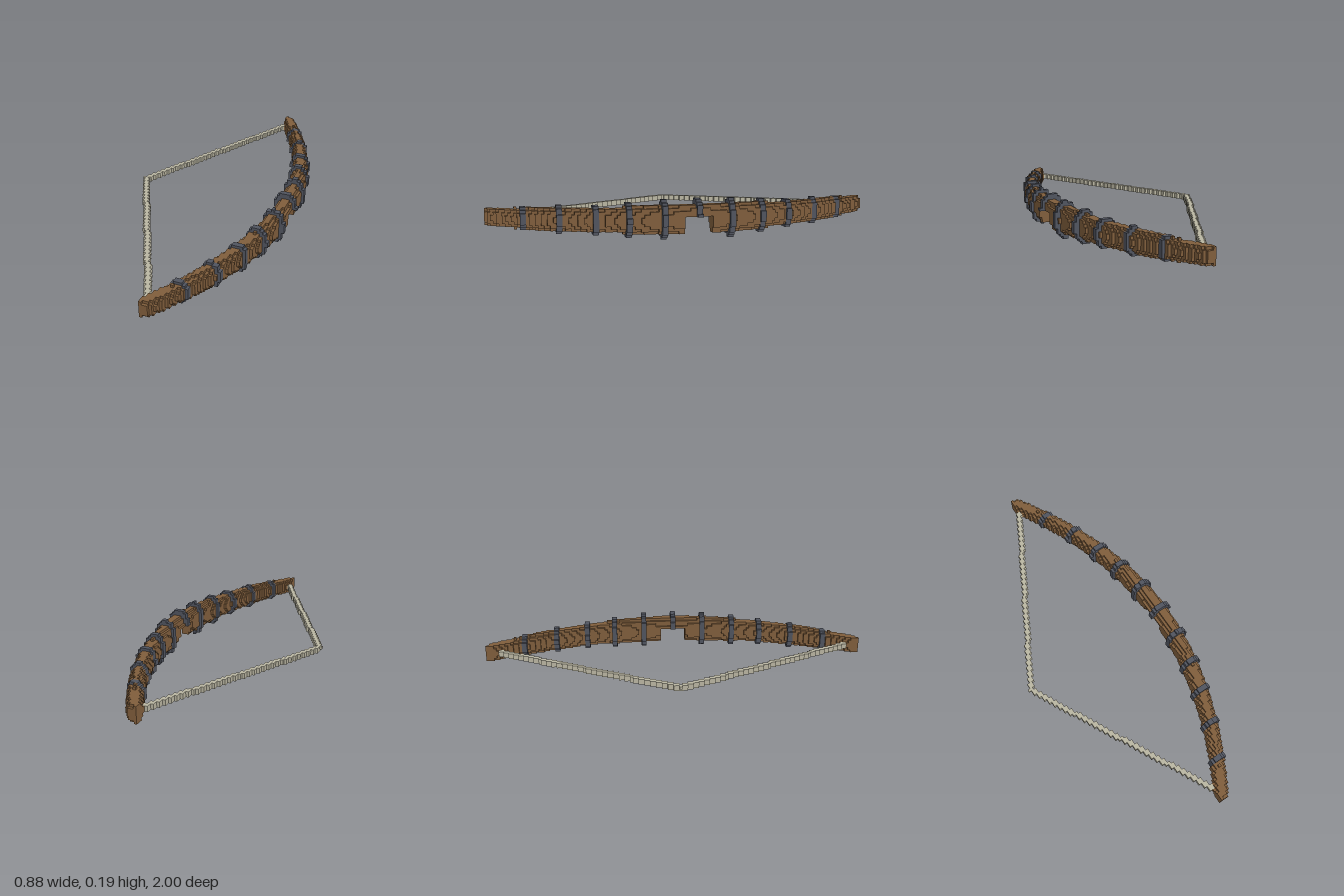
import * as THREE from 'three';

// Block-built bow: every part is a rule over a grid of small cubes.
const CELL = 2 / 145;
const HALF_LENGTH = 72;   // cells from the middle to each tip, along z
const WIDTH = 64, HEIGHT = 14;
const MID_Y = 7;

const key = (i, j, k) => (k + 100) * 10000 + (j + 5) * 100 + (i + 5);

// Middle of the limb in x for a slice at z
const limbCentre = (z) => 59.3 - 23 * z * z;

const inEllipse = (i, j, cx, rx, ry) =>
  ((i + 0.5 - cx) / rx) ** 2 + ((j + 0.5 - MID_Y) / ry) ** 2 <= 1;

// Opening under the grip where the arrow rests
const inNotch = (j, k) => k >= -4 && k <= 5 && j < 8;

function fillCells() {
  const cells = new Map();

  // First slice of each two-slice binding ring
  const rings = new Map();
  for (let n = -5; n <= 5; n++) {
    const start = Math.round(n * 11.82);
    rings.set(start, start + 0.5);
    rings.set(start + 1, start + 0.5);
  }

  for (let k = -HALF_LENGTH; k <= HALF_LENGTH; k++) {
    const z = Math.abs(k * CELL);
    const tipCut = Math.max(0, Math.abs(k) - 70) * 0.3;
    for (let i = 36; i < WIDTH; i++) {
      for (let j = 0; j < HEIGHT; j++) {
        if (inNotch(j, k)) continue;
        // Wooden limb, thinner towards the tips
        if (inEllipse(i, j, limbCentre(z), 3.05 - 0.3 * z, 5.3 - 2.1 * z - tipCut)) {
          cells.set(key(i, j, k), { part: 'limb', at: [i, j, k] });
        }
        // Binding rings stand proud of the wood
        if (rings.has(k)) {
          const rz = Math.abs(rings.get(k) * CELL);
          if (inEllipse(i, j, limbCentre(rz), 4.4 - 1.6 * rz, 7.3 - 3.9 * rz)) {
            cells.set(key(i, j, k), { part: 'bindingRings', at: [i, j, k] });
          }
        }
      }
    }
  }

  // Drawn string: two straight runs meeting at the back
  for (let k = -68; k <= 68; k++) {
    const start = Math.round((36 * Math.abs(k)) / 68);
    for (let i = start; i < start + 2; i++) {
      for (let j = 6; j < 8; j++) {
        if (i === 0 && j === 6) continue;
        if (!cells.has(key(i, j, k))) cells.set(key(i, j, k), { part: 'string', at: [i, j, k] });
      }
    }
  }
  return cells;
}

// Outer cube faces of one part
function buildPart(cells, part) {
  const positions = [], normals = [], index = [];
  for (const cell of cells.values()) {
    if (cell.part !== part) continue;
    for (let axis = 0; axis < 3; axis++) {
      for (const side of [1, -1]) {
        const next = [...cell.at];
        next[axis] += side;
        if (cells.has(key(...next))) continue;
        const u = (axis + 1) % 3, v = (axis + 2) % 3;
        const normal = [0, 0, 0];
        normal[axis] = side;
        const base = positions.length / 3;
        for (const [a, b] of [[0, 0], [1, 0], [1, 1], [0, 1]]) {
          const p = [...cell.at];
          p[axis] += side > 0 ? 1 : 0;
          p[u] += a;
          p[v] += b;
          positions.push((p[0] - WIDTH / 2) * CELL, p[1] * CELL, (p[2] - 0.5) * CELL);
          normals.push(...normal);
        }
        const order = side > 0 ? [0, 1, 2, 0, 2, 3] : [0, 2, 1, 0, 3, 2];
        index.push(...order.map((n) => base + n));
      }
    }
  }
  const geometry = new THREE.BufferGeometry();
  geometry.setAttribute('position', new THREE.Float32BufferAttribute(positions, 3));
  geometry.setAttribute('normal', new THREE.Float32BufferAttribute(normals, 3));
  geometry.setIndex(index);
  return geometry;
}

export function createModel() {
  const group = new THREE.Group();
  group.name = 'bow';
  const materials = {
    limb: new THREE.MeshStandardMaterial({ color: 0x805e3c }),
    bindingRings: new THREE.MeshStandardMaterial({ color: 0x50545f }),
    string: new THREE.MeshStandardMaterial({ color: 0xbab6a2 }),
  };
  materials.limb.name = 'brown wood';
  materials.bindingRings.name = 'dark grey metal';
  materials.string.name = 'pale cord';

  const cells = fillCells();
  for (const part of Object.keys(materials)) {
    const mesh = new THREE.Mesh(buildPart(cells, part), materials[part]);
    mesh.name = part;
    // Cells are centred on whole z numbers
    group.add(mesh);
  }
  return group;
}
